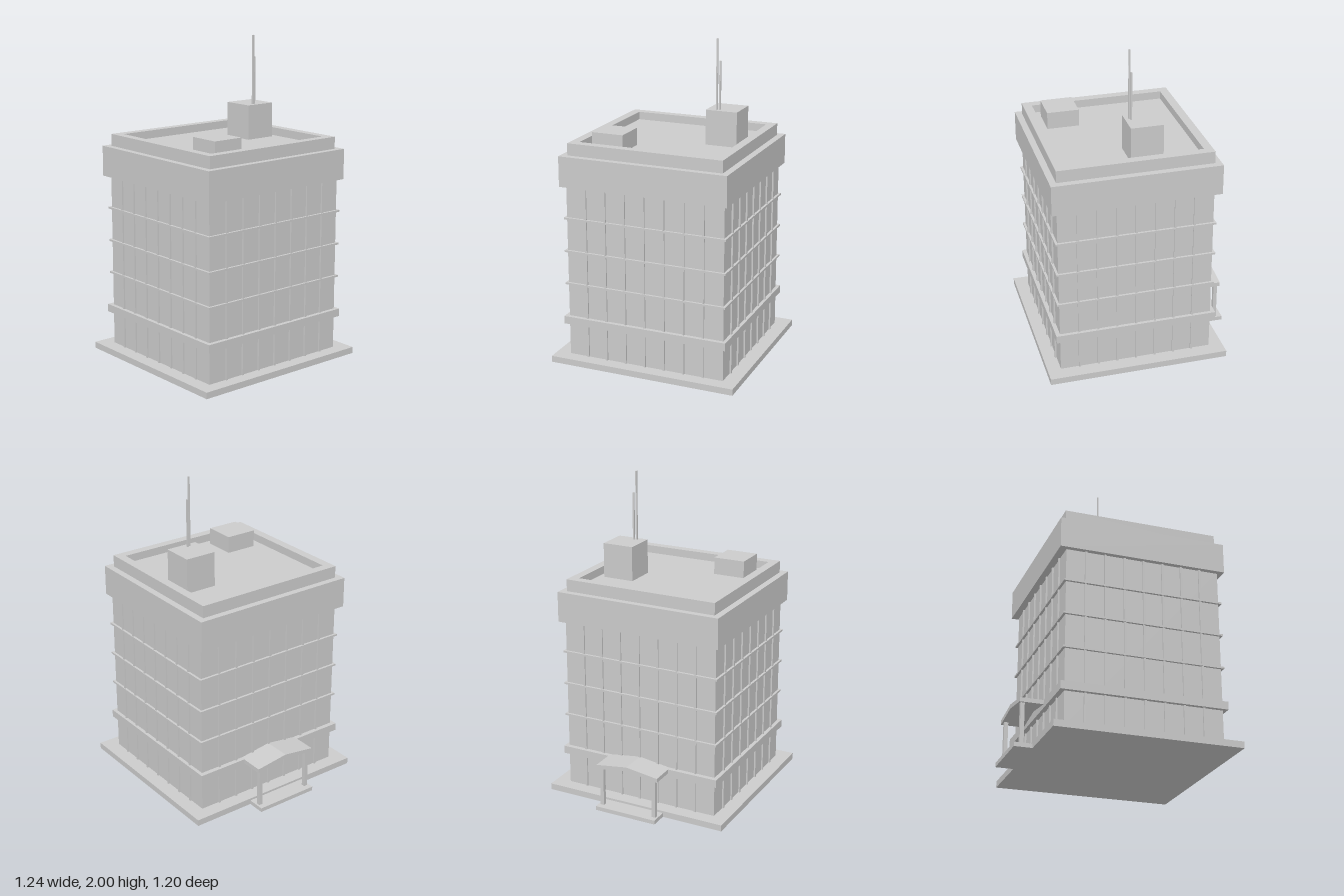
import * as THREE from 'three';

const material = new THREE.MeshStandardMaterial({ color: 0xcccccc, flatShading: true });

export function createModel() {
  const model = new THREE.Group();
  model.name = 'officeBuilding';

  const add = (name, geometry, parent = model) => {
    const mesh = new THREE.Mesh(geometry, material);
    mesh.name = name;
    parent.add(mesh);
    return mesh;
  };
  // Box given by its extents along each axis
  const box = (name, x0, x1, y0, y1, z0, z1, parent) => {
    const mesh = add(name, new THREE.BoxGeometry(x1 - x0, y1 - y0, z1 - z0), parent);
    mesh.position.set((x0 + x1) / 2, (y0 + y1) / 2, (z0 + z1) / 2);
    return mesh;
  };

  // Ground slab, tower and the projecting belts
  box('groundSlab', -0.513, 0.62, 0, 0.04, -0.603, 0.6);
  const cx = 0.055, halfX = 0.481, halfZ = 0.51;
  box('towerWalls', cx - halfX, cx + halfX, 0.04, 1.14, -halfZ, halfZ);
  box('lowerBelt', -0.455, 0.562, 0.248, 0.297, -0.532, 0.535);
  box('topFascia', -0.47, 0.57, 1.135, 1.325, -0.535, 0.541);

  // Floor bands around the tower
  const bands = new THREE.Group();
  bands.name = 'floorBands';
  model.add(bands);
  for (const y of [0.512, 0.722, 0.932]) {
    const out = 0.015;
    box('floorBand', cx - halfX - out, cx + halfX + out, y - 0.006, y + 0.006, -halfZ - out, halfZ + out, bands);
  }

  // Vertical window mullions, eight bays per side
  const mullions = new THREE.Group();
  mullions.name = 'windowMullions';
  model.add(mullions);
  const bays = 8, w = 0.006, depth = 0.01;
  for (let i = 1; i < bays; i++) {
    const t = (2 * i) / bays - 1;
    const x = cx + t * halfX, z = t * halfZ;
    for (const s of [-1, 1]) {
      const front = box('frontBackMullion', x - w, x + w, 0.04, 1.135, -depth, depth, mullions);
      front.position.z = s * halfZ;
      const side = box('sideMullion', -depth, depth, 0.04, 1.135, z - w, z + w, mullions);
      side.position.x = cx + s * halfX;
    }
  }

  // Roof deck inside the parapet ring
  const roof = { x0: -0.43, x1: 0.53, z0: -0.493, z1: 0.5, y0: 1.32, y1: 1.4, rim: 0.055 };
  const ring = new THREE.Shape();
  ring.moveTo(roof.x0, -roof.z0).lineTo(roof.x0, -roof.z1).lineTo(roof.x1, -roof.z1).lineTo(roof.x1, -roof.z0).closePath();
  const hole = new THREE.Path();
  const r = roof.rim;
  hole.moveTo(roof.x0 + r, -roof.z0 - r).lineTo(roof.x1 - r, -roof.z0 - r);
  hole.lineTo(roof.x1 - r, -roof.z1 + r).lineTo(roof.x0 + r, -roof.z1 + r).closePath();
  ring.holes.push(hole);
  const parapet = add('parapet', new THREE.ExtrudeGeometry(ring, { depth: roof.y1 - roof.y0, bevelEnabled: false }));
  parapet.rotation.x = -Math.PI / 2;
  parapet.position.y = roof.y0;
  box('roofDeck', roof.x0 + 0.02, roof.x1 - 0.02, 1.3, 1.35, roof.z0 + 0.02, roof.z1 - 0.02);

  // Rooftop housings and masts
  box('stairHousing', -0.14, 0.06, 1.34, 1.567, -0.4, -0.2);
  box('ventHousing', 0.232, 0.432, 1.34, 1.457, 0.18, 0.382);
  const mast = (name, x, z, top) => box(name, x - 0.005, x + 0.005, 1.56, top, z - 0.005, z + 0.005);
  mast('tallMast', 0.032, -0.261, 2);
  mast('shortMast', 0.025, -0.278, 1.865);

  // Entrance porch on the -x side: step, posts and peaked canopy
  const porch = new THREE.Group();
  porch.name = 'entrancePorch';
  model.add(porch);
  box('entranceStep', -0.623, -0.5, 0, 0.026, -0.205, 0.205, porch);
  for (const s of [-1, 1]) {
    const post = box('canopyPost', -0.587, -0.563, 0.02, 0.275, -0.012, 0.012, porch);
    post.position.z = s * 0.18;
  }
  const peak = new THREE.Shape();
  peak.moveTo(-0.21, 0.27).lineTo(0, 0.299).lineTo(0.21, 0.27);
  peak.lineTo(0.21, 0.296).lineTo(0, 0.325).lineTo(-0.21, 0.296).closePath();
  const canopy = add('canopyRoof', new THREE.ExtrudeGeometry(peak, { depth: 0.18, bevelEnabled: false }), porch);
  canopy.rotation.y = Math.PI / 2;
  canopy.position.x = -0.598;

  return model;
}
